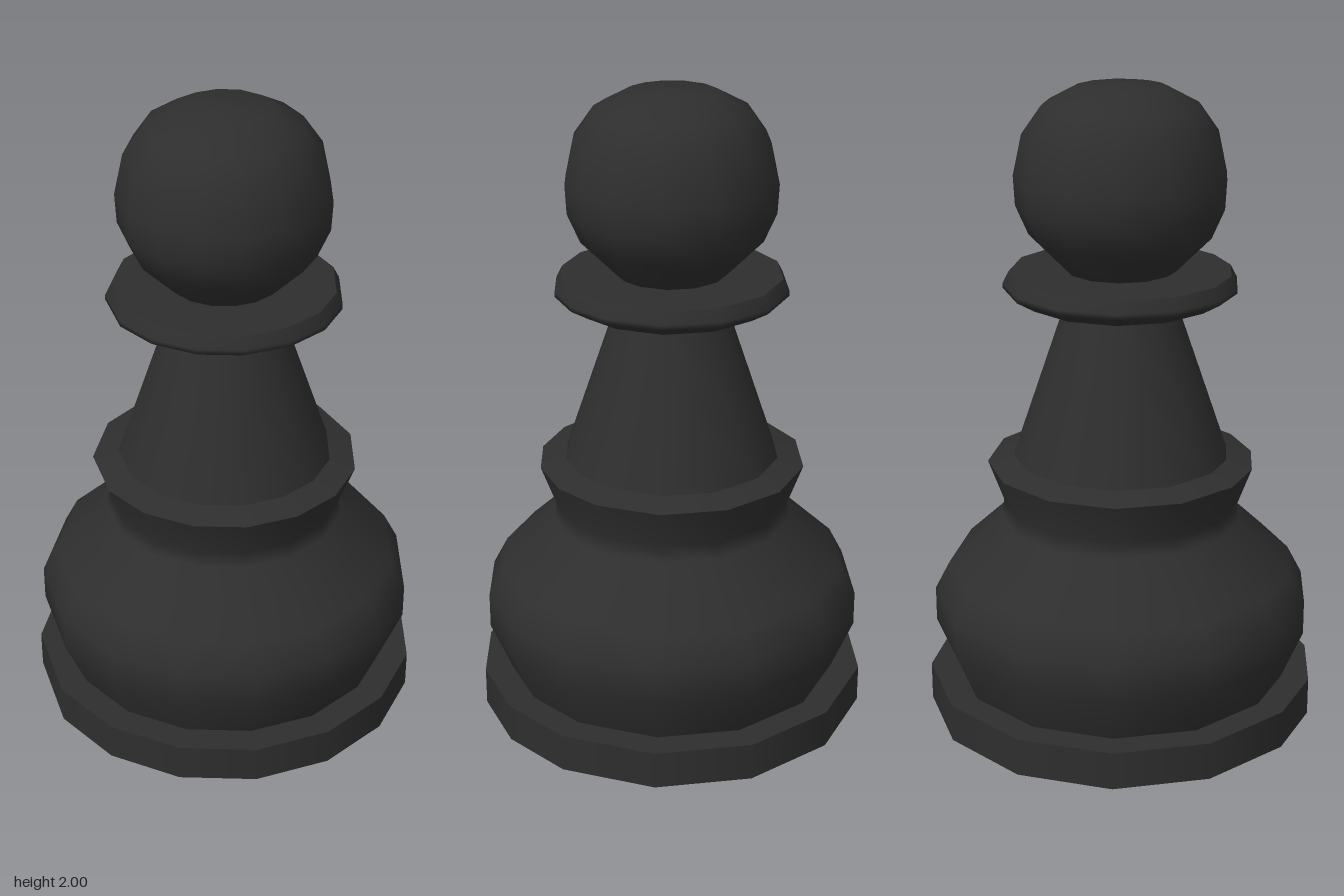
import * as THREE from 'three';

const SIDES = 14;
const material = new THREE.MeshStandardMaterial({ color: 0x2e2e2e, side: THREE.DoubleSide });

// Turned section whose sides are wide for 8 steps (225 deg) and narrow for 6 (135 deg)
function turned(name, profile) {
  const points = profile.map(([r, y]) => new THREE.Vector2(r, y));
  const geometry = new THREE.LatheGeometry(points, SIDES, Math.PI / 2);
  const up = new THREE.Vector3(0, 1, 0);
  const v = new THREE.Vector3();
  for (const key of ['position', 'normal']) {
    const attribute = geometry.attributes[key];
    for (let k = 0; k < attribute.count; k++) {
      const i = Math.floor(k / points.length);
      const degrees = i <= 8 ? i * 28.125 : 225 + (i - 8) * 22.5;
      const turn = THREE.MathUtils.degToRad(degrees - (i * 360) / SIDES);
      v.fromBufferAttribute(attribute, k).applyAxisAngle(up, turn);
      attribute.setXYZ(k, v.x, v.y, v.z);
    }
  }
  const mesh = new THREE.Mesh(geometry, material);
  mesh.name = name;
  return mesh;
}

export function createModel() {
  const model = new THREE.Group();
  model.name = 'pawn';

  // Hollow shell, listed from the ground up; sections part at the sharp edges
  model.add(
    turned('baseRim', [[0.614, 0], [0.614, 0.12]]),
    turned('baseLedge', [[0.614, 0.12], [0.525, 0.12]]),
    turned('body', [
      [0.525, 0.12], [0.592, 0.28], [0.592, 0.39], [0.545, 0.48],
      [0.375, 0.64], [0.368, 0.69], [0.416, 0.82],
    ]),
    turned('bodyLedge', [[0.416, 0.82], [0.335, 0.843]]),
    turned('neck', [[0.335, 0.843], [0.165, 1.345]]),
    turned('collarUnderside', [[0.165, 1.345], [0.3, 1.345]]),
    turned('collarRim', [[0.3, 1.345], [0.359, 1.38], [0.359, 1.395], [0.34, 1.432]]),
    turned('collarTop', [[0.34, 1.432], [0.17, 1.436]]),
    turned('head', [
      [0.17, 1.436], [0.278, 1.545], [0.317, 1.635], [0.322, 1.725],
      [0.295, 1.85], [0.235, 1.935], [0.14, 1.986], [0, 2],
    ]),
  );

  // Centre the uneven outline
  for (const part of model.children) part.position.set(-0.006, 0, -0.0015);
  return model;
}
